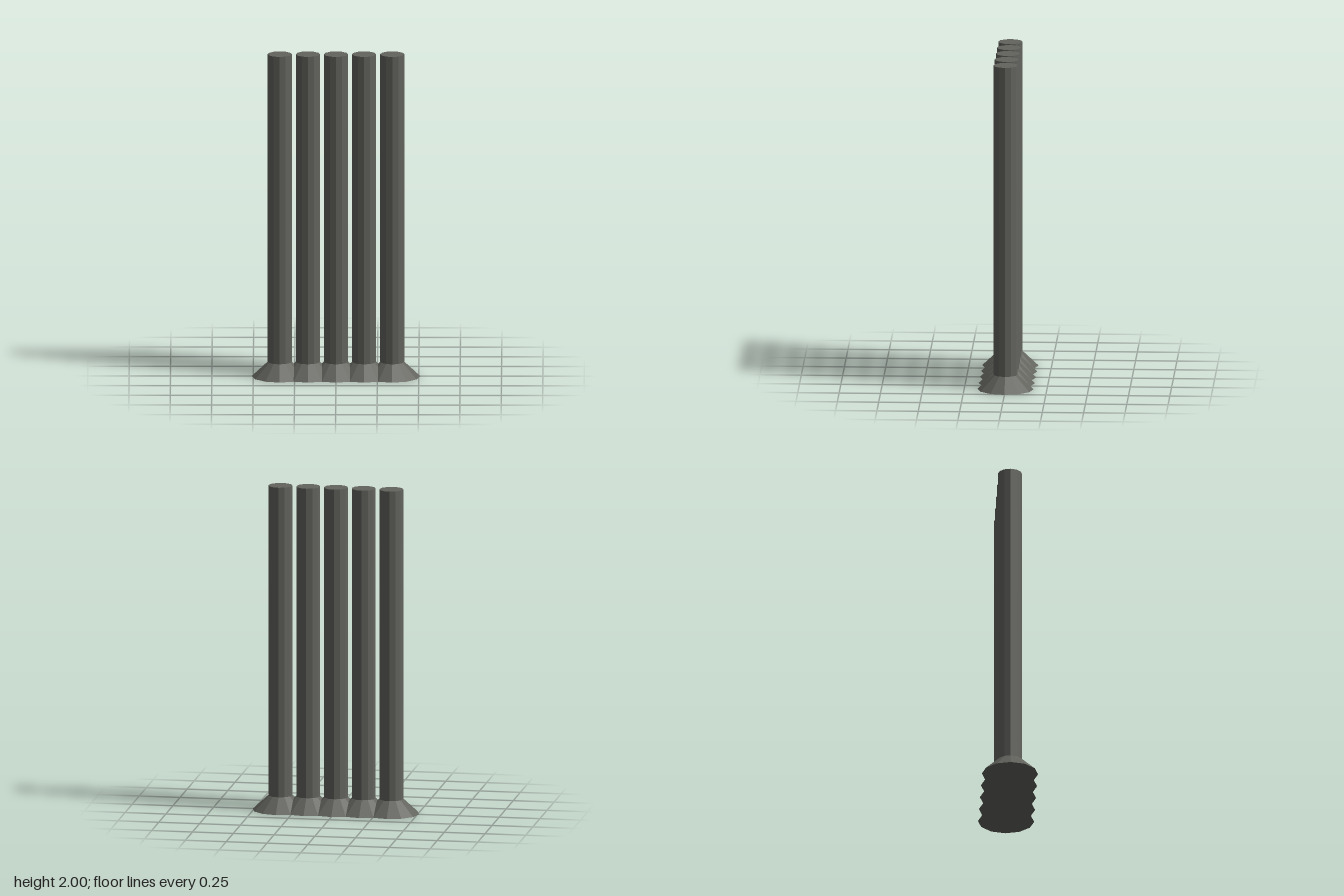
import * as THREE from 'three';

const COUNT = 5;
const SPACING = 0.17;
const SIDES = 12;
const POST_RADIUS = 0.073;
const FOOT_RADIUS = 0.17;
const FOOT_HEIGHT = 0.09;
const HEIGHT = 2;

export function createModel() {
  const model = new THREE.Group();
  model.name = 'postRow';

  const darkStone = new THREE.MeshStandardMaterial({ color: 0x62635d });
  darkStone.name = 'darkStone';

  // Faceted shaft and flared foot, shared by every post
  const shaftHeight = HEIGHT - FOOT_HEIGHT;
  const shaftGeometry = flat(new THREE.CylinderGeometry(POST_RADIUS, POST_RADIUS, shaftHeight, SIDES));
  shaftGeometry.translate(0, FOOT_HEIGHT + shaftHeight / 2, 0);
  const footGeometry = flat(new THREE.CylinderGeometry(POST_RADIUS, FOOT_RADIUS, FOOT_HEIGHT, SIDES));
  footGeometry.translate(0, FOOT_HEIGHT / 2, 0);

  // Row of posts whose feet run into each other
  for (let i = 0; i < COUNT; i++) {
    const post = new THREE.Group();
    post.name = `post${i + 1}`;
    post.position.x = (i - (COUNT - 1) / 2) * SPACING;

    const shaft = new THREE.Mesh(shaftGeometry, darkStone);
    shaft.name = 'shaft';
    const foot = new THREE.Mesh(footGeometry, darkStone);
    foot.name = 'flaredFoot';

    post.add(shaft, foot);
    model.add(post);
  }
  return model;
}

// One normal per face for a faceted look
function flat(geometry) {
  const faceted = geometry.toNonIndexed();
  faceted.computeVertexNormals();
  return faceted;
}
